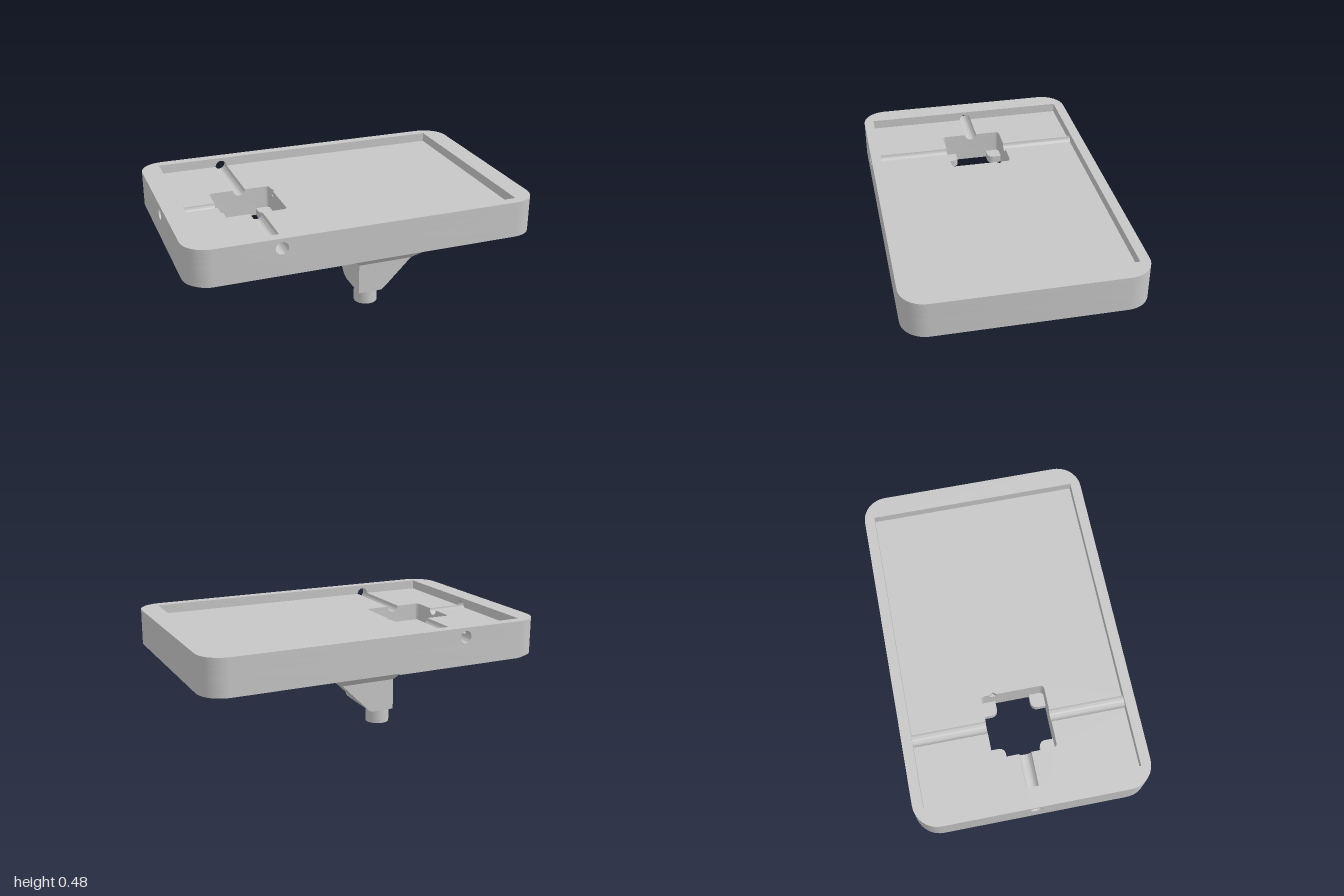
import * as THREE from 'three';
import { toCreasedNormals } from 'three/addons/utils/BufferGeometryUtils.js';
import { ConvexGeometry } from 'three/addons/geometries/ConvexGeometry.js';

const X = 1, Z = 0.655, R = 0.14;           // body half sizes and corner radius
const BORE = 0.035, FLOOR = 0.43, RIM = 0.484;

// Closed outline from [x, z, cornerRadius] points, drawn with shape y = -z
function outline(pts, Type = THREE.Shape) {
  const s = new Type();
  const v = pts.map(([x, z]) => new THREE.Vector2(x, -z));
  const n = v.length;
  v.forEach((p, i) => {
    const r = pts[i][2] || 0;
    const toward = (q, d) => p.clone().add(q.clone().sub(p).setLength(d));
    const prev = v[(i + n - 1) % n], next = v[(i + 1) % n];
    const a = r ? toward(prev, r) : p;
    if (i === 0) s.moveTo(a.x, a.y); else s.lineTo(a.x, a.y);
    if (r) {
      const c1 = toward(prev, r * 0.448), c2 = toward(next, r * 0.448), b = toward(next, r);
      s.bezierCurveTo(c1.x, c1.y, c2.x, c2.y, b.x, b.y);
    }
  });
  s.closePath();
  return s;
}
// Counter-clockwise, so that the holes cut into it are turned the right way
const rect = (x0, x1, z0, z1, r = 0) => [[x0, z0, r], [x0, z1, r], [x1, z1, r], [x1, z0, r]];

function extrude(shape, depth) {
  const g = new THREE.ExtrudeGeometry(shape, { depth, bevelEnabled: false, curveSegments: 10 });
  return toCreasedNormals(g, 0.5);
}

// Horizontal slab between two heights, with holes
function slab(pts, y0, y1, holes = []) {
  const s = outline(pts);
  s.holes.push(...holes);
  return extrude(s, y1 - y0).rotateX(-Math.PI / 2).translate(0, y0, 0);
}

const hole = (pts) => outline(pts, THREE.Path);
function ellipseHole(x, z, rx, rz) {
  const p = new THREE.Path();
  p.absellipse(x, -z, rx, rz, 0, Math.PI * 2);
  return p;
}

// Convex block through rectangles [y, x0, x1, z0, z1] at several heights
function hull(...levels) {
  const pts = [];
  for (const [y, x0, x1, z0, z1] of levels)
    for (const x of [x0, x1]) for (const z of [z0, z1]) pts.push(new THREE.Vector3(x, y, z));
  return new ConvexGeometry(pts);
}

export function createModel() {
  const model = new THREE.Group();
  model.name = 'trayOnLegs';
  const grey = new THREE.MeshStandardMaterial({ color: 0xc6c6c6 });
  grey.name = 'grey';
  const add = (name, geo, parent = model) => {
    const m = new THREE.Mesh(geo, grey);
    m.name = name;
    parent.add(m);
    return m;
  };

  // Square well and its plus-shaped lower opening, leaving four corner pads
  const wx0 = -0.682, wx1 = -0.32, wz = 0.18, p = 0.082, pr = 0.035, wr = 0.02;
  const well = () => hole(rect(wx0, wx1, -wz, wz, wr));
  const plus = () => hole([
    [wx0 + p, -wz], [wx1 - p, -wz], [wx1 - p, -wz + p, pr], [wx1, -wz + p],
    [wx1, wz - p], [wx1 - p, wz - p, pr], [wx1 - p, wz], [wx0 + p, wz],
    [wx0 + p, wz - p, pr], [wx0, wz - p], [wx0, -wz + p], [wx0 + p, -wz + p, pr]]);
  const screws = () => [0.27, 0.64].flatMap((x) => [-0.39, 0.18].map((z) => ellipseHole(x, z, 0.027, 0.027)));
  const slot = () => ellipseHole(0.125, -0.11, 0.1, 0.035);

  // Underside layers
  add('undersidePlate', slab(rect(-0.97, 0, -0.625, 0.625, 0.11), 0.257, 0.275, [plus()]));
  add('bodyBottom', slab(rect(-X, X, -Z, Z, R), 0.275, 0.3,
    [plus(), ...screws(), hole(rect(0.355, 0.572, -0.457, 0.247)), slot()]));
  add('bodyCore', slab(rect(-X, X, -Z, Z, R), 0.3, 0.395,
    [well(), ...screws(), hole(rect(0.38, 0.547, -0.432, 0.222)), slot()]));

  // Tray floor and rim, split where the cable channels run
  const c0 = -0.5 - BORE, c1 = -0.5 + BORE;
  add('trayFloor', slab([[c1, -Z], [X, -Z, R], [X, Z, R], [c1, Z], [c1, wz], [wx1, wz, wr],
    [wx1, -0.09], [wx1 + 0.015, -0.11], [wx1, -0.13], [wx1, -wz, wr], [c1, -wz]], 0.395, FLOOR));
  add('trayRim', slab([[c1, -Z], [X, -Z, R], [X, Z, R], [c1, Z], [c1, 0.597],
    [0.88, 0.597], [0.88, -0.597], [c1, -0.597]], FLOOR, RIM));
  for (const s of [1, -1]) {
    add('trayFloorSide', slab([[-X, s * BORE], [-X, s * Z, R], [c0, s * Z], [c0, s * wz],
      [wx0, s * wz, wr], [wx0, s * BORE]], 0.395, FLOOR));
    add('trayRimSide', slab([[-X, s * BORE], [-X, s * Z, R], [c0, s * Z], [c0, s * 0.597],
      [-0.885, s * 0.597], [-0.885, s * BORE]], FLOOR, RIM));
  }

  // Half-round channels in the floor and arched holes through the rim
  const groove = new THREE.Shape();
  groove.moveTo(-BORE, 0.385);
  groove.lineTo(BORE, 0.385);
  groove.lineTo(BORE, FLOOR);
  groove.absarc(0, FLOOR, BORE, 0, -Math.PI, true);
  groove.closePath();
  const arch = new THREE.Shape();
  arch.moveTo(BORE, RIM);
  arch.lineTo(-BORE, RIM);
  arch.lineTo(-BORE, FLOOR);
  arch.absarc(0, FLOOR, BORE, Math.PI, 0, true);
  arch.closePath();
  for (const [z, len, shape, name] of [[wz, Z - wz, groove, 'channel'], [0.597, Z - 0.597, arch, 'rimHole']]) {
    add(name + 'Front', extrude(shape, len).translate(-0.5, 0, z));
    add(name + 'Back', extrude(shape, len).translate(-0.5, 0, -z - len));
  }
  add('channelSide', extrude(groove, X + wx0).rotateY(Math.PI / 2).translate(-X, 0, 0));
  add('rimHoleSide', extrude(arch, X - 0.885).rotateY(Math.PI / 2).translate(-X, 0, 0));

  // Two legs with sloped braces
  for (const s of [1, -1]) {
    const leg = new THREE.Group();
    leg.name = s > 0 ? 'frontLeg' : 'backLeg';
    model.add(leg);

    const side = outline([[-0.065, -0.073], [0.07, -0.073, 0.02], [0.274, -0.277], [-0.065, -0.277]]);
    add('sideBrace', extrude(side, 0.125).translate(0, 0, s > 0 ? 0.5 : -0.625), leg);

    // Inner brace, its lower edge cut by the slope of the side brace
    add('innerBrace', hull([0.073, -0.065, 0.065, s * 0.435, s * 0.625], [0.088, -0.065, 0.082, s * 0.398, s * 0.625],
      [0.1, -0.065, 0.095, s * 0.385, s * 0.625], [0.277, -0.065, 0.095, s * 0.208, s * 0.625]), leg);

    // Rounded inside corner between the braces, its foot following the slope
    const fillet = slab([[0.09, s * 0.505], [0.16, s * 0.505], [0.16, s * 0.5],
      [0.095, s * 0.5, 0.064], [0.095, s * 0.435], [0.09, s * 0.435]], 0.1, 0.277);
    const pos = fillet.attributes.position;
    for (let i = 0; i < pos.count; i++) if (pos.getY(i) < 0.2) pos.setY(i, pos.getX(i) + 0.004);
    add('braceFillet', toCreasedNormals(fillet, 0.5), leg);

    // Flared joints under the body
    add('sideFlare', hull([0.24, -0.065, 0.235, s * 0.5, s * 0.625], [0.277, -0.1, 0.3, s * 0.5, s * 0.655]), leg);
    add('innerFlare', hull([0.24, -0.065, 0.06, s * 0.245, s * 0.625], [0.277, -0.1, 0.06, s * 0.208, s * 0.655]), leg);

    // Round foot with a blind hole
    const profile = [[0, 0.05], [0.026, 0.05], [0.026, 0], [0.063, 0], [0.063, 0.08]]
      .map(([x, y]) => new THREE.Vector2(x, y));
    add('foot', toCreasedNormals(new THREE.LatheGeometry(profile, 32), 0.5).translate(-0.002, 0, s * 0.5615), leg);
  }
  return model;
}
